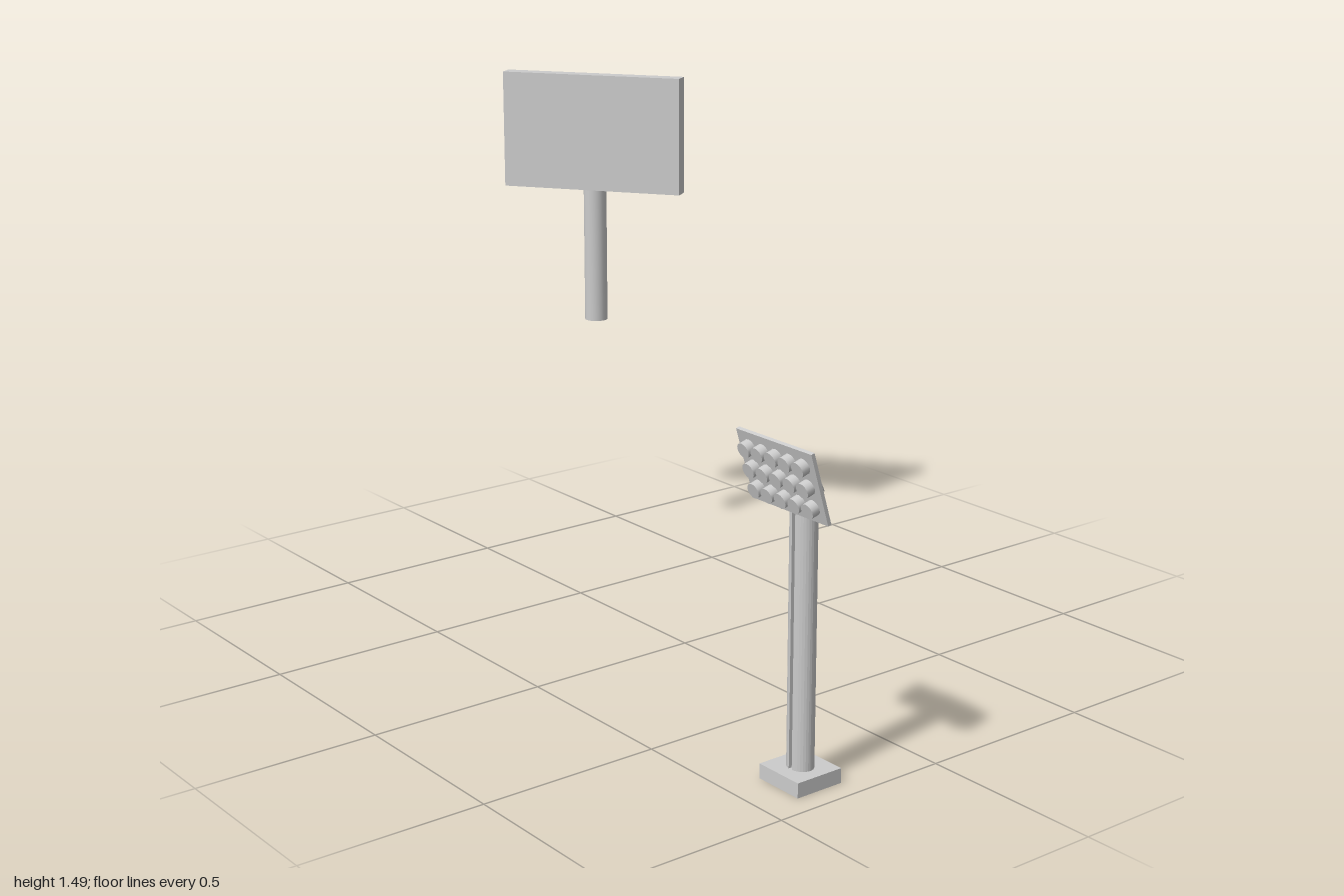
import * as THREE from 'three';

const grey = new THREE.MeshStandardMaterial({ color: 0xcccccc, side: THREE.DoubleSide });

function add(parent, name, geometry, x = 0, y = 0, z = 0) {
  const mesh = new THREE.Mesh(geometry, grey);
  mesh.name = name;
  mesh.position.set(x, y, z);
  parent.add(mesh);
  return mesh;
}

function group(parent, name, x, y, z) {
  const g = new THREE.Group();
  g.name = name;
  g.position.set(x, y, z);
  parent.add(g);
  return g;
}

function rod(parent, name, a, b, radius) {
  const from = new THREE.Vector3(...a), to = new THREE.Vector3(...b);
  const mesh = add(parent, name, new THREE.CylinderGeometry(radius, radius, from.distanceTo(to), 8));
  mesh.position.copy(from).add(to).multiplyScalar(0.5);
  mesh.quaternion.setFromUnitVectors(new THREE.Vector3(0, 1, 0), to.sub(from).normalize());
  return mesh;
}

// Rounded column section with a groove down each x side
function columnGeometry(height) {
  const rx = 0.032, rz = 0.037, gap = 0.006, depth = 0.01;
  const a0 = Math.asin(gap / rz), shape = new THREE.Shape();
  for (const side of [0, Math.PI]) {
    for (let i = 0; i <= 14; i++) {
      const a = side + a0 + (Math.PI - 2 * a0) * i / 14;
      const x = rx * Math.cos(a), y = rz * Math.sin(a);
      if (side === 0 && i === 0) shape.moveTo(x, y);
      else shape.lineTo(x, y);
    }
    const s = side === 0 ? -1 : 1;
    shape.lineTo(s * (rx - depth), -s * gap);
    shape.lineTo(s * (rx - depth), s * gap);
  }
  const g = new THREE.ExtrudeGeometry(shape, { depth: height, bevelEnabled: false });
  return g.rotateX(-Math.PI / 2);
}

export function createModel() {
  const model = new THREE.Group();
  model.name = 'lampPostAndSign';

  // Lamp post: base, column and cap
  const post = group(model, 'lampPost', -0.326, 0, 0.866);
  add(post, 'base', new THREE.BoxGeometry(0.138, 0.039, 0.142), 0, 0.0195, 0);
  add(post, 'column', columnGeometry(0.697), 0, 0.039, 0);
  add(post, 'capPlate', new THREE.CylinderGeometry(0.037, 0.037, 0.008, 24), 0, 0.738, 0);

  // Bracket cheeks between the cap and the lamp panel
  const cheek = new THREE.Shape([
    [-0.068, 0.832], [-0.045, 0.825], [0.034, 0.742], [-0.029, 0.742], [-0.034, 0.772], [-0.058, 0.78],
  ].map(([x, y]) => new THREE.Vector2(x, y)));
  const cheekGeometry = new THREE.ExtrudeGeometry(cheek, { depth: 0.005, bevelEnabled: false });
  for (const s of [-1, 1]) {
    add(post, 'bracketCheek', cheekGeometry, 0, 0, s * 0.02 - 0.0025);
    // Stay from the cap to an upper corner of the panel
    rod(post, 'stay', [0.034, 0.74, s * 0.029], [-0.092, 0.878, s * 0.118], 0.0025);
  }
  for (const [x, y] of [[-0.045, 0.8], [-0.005, 0.762]])
    rod(post, 'bracketBolt', [x, y, -0.028], [x, y, 0.028], 0.006);

  // Tilted panel with three rows of lamps
  const head = group(post, 'lampHead', -0.066, 0.789, 0);
  head.rotation.z = 0.293;
  add(head, 'lampPanel', new THREE.BoxGeometry(0.01, 0.19, 0.267));
  const lamp = new THREE.CylinderGeometry(0.02, 0.02, 0.022, 16).rotateZ(Math.PI / 2);
  for (let row = -1; row <= 1; row++)
    for (let col = -2; col <= 2; col++)
      add(head, 'lamp', lamp, -0.016, row * 0.055, col * 0.048);

  // Separate sign: turned board on a round pole
  const sign = group(model, 'sign', 0.255, 0, -0.764);
  sign.rotation.y = Math.atan2(0.313, 0.449);
  add(sign, 'signBoard', new THREE.BoxGeometry(0.047, 0.343, 0.547), 0, 1.3165, 0);
  add(sign, 'signPole', new THREE.CylinderGeometry(0.034, 0.034, 0.62, 24), 0.011, 1.055, 0);

  return model;
}
